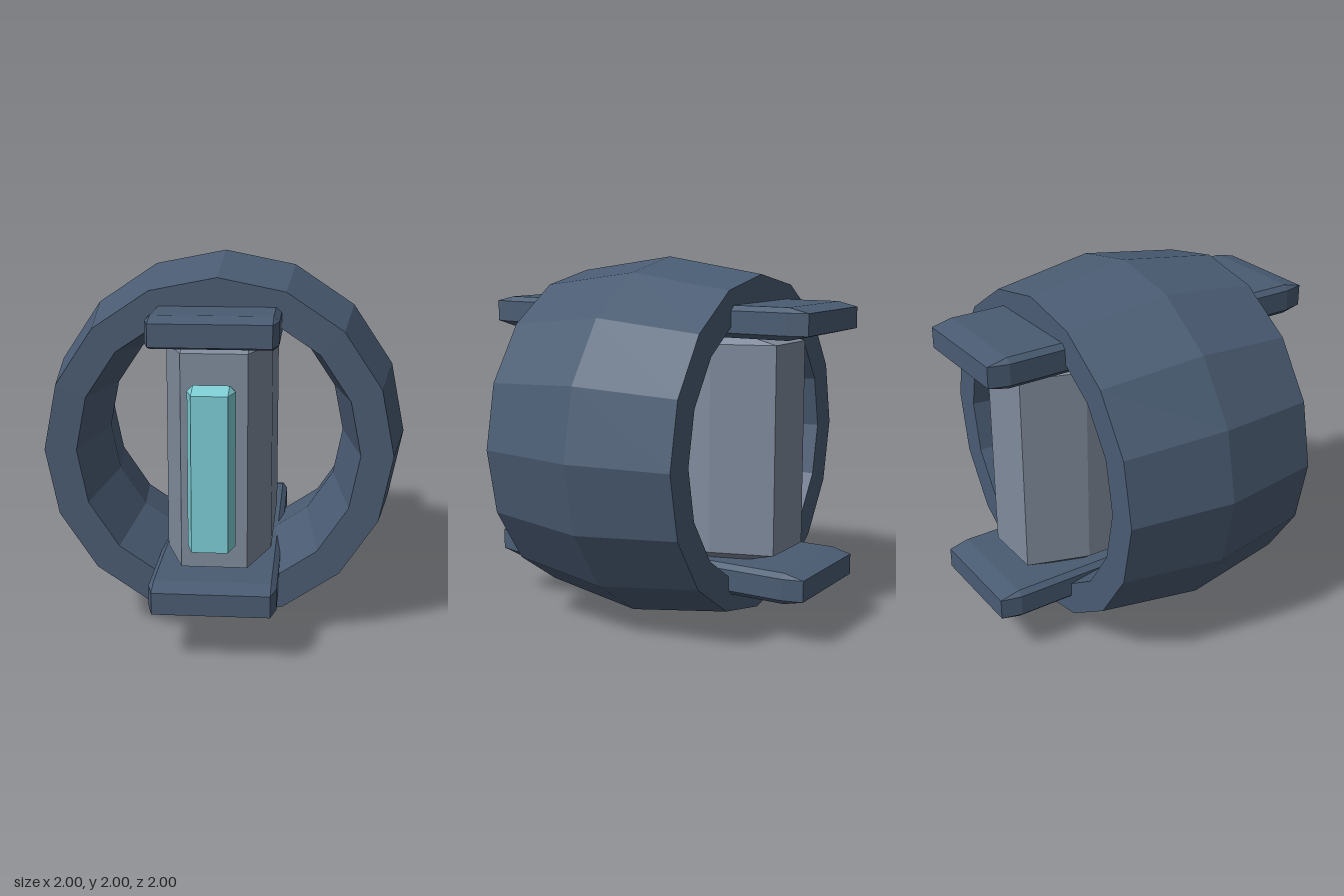
import * as THREE from 'three';
import { ConvexGeometry } from 'three/addons/geometries/ConvexGeometry.js';

const flat = (name, color) => {
  const m = new THREE.MeshStandardMaterial({ color, flatShading: true });
  m.name = name;
  return m;
};

// Box with every edge chamfered; half sizes h and chamfer widths b per axis
function chamferBox(h, b) {
  const points = [];
  for (const sx of [-1, 1]) for (const sy of [-1, 1]) for (const sz of [-1, 1]) {
    for (let axis = 0; axis < 3; axis++) {
      const p = h.map((v, i) => (i === axis ? v : v - b[i]));
      points.push(new THREE.Vector3(p[0] * sx, p[1] * sy, p[2] * sz));
    }
  }
  return new ConvexGeometry(points);
}

export function createModel() {
  const group = new THREE.Group();
  const slate = flat('slate blue', 0x4a5c73);
  const grey = flat('steel grey', 0x808b9c);
  const teal = flat('teal', 0x7dced5);

  const add = (name, geometry, material, x, y, z) => {
    const mesh = new THREE.Mesh(geometry, material);
    mesh.name = name;
    mesh.position.set(x, y, z);
    group.add(mesh);
  };

  // Outer ring: six-sided tube stretched along its axis
  const ring = new THREE.TorusGeometry(0.83, 0.17, 6, 16);
  ring.scale(1, 1, 0.57 / (0.17 * Math.sin(Math.PI / 3)));
  add('ring', ring, slate, 0, 1, -0.01);

  // Rails through the top and bottom of the ring
  for (const [name, y] of [['topRail', 1.685], ['bottomRail', 0.32]]) {
    add(name, chamferBox([0.328, 0.083, 0.987], [0.028, 0.026, 0.11]), slate, 0, y, -0.013);
  }

  // Central block held between the rails
  add('core', chamferBox([0.28, 0.645, 0.753], [0.11, 0.085, 0.33]), grey, 0, 1, -0.007);

  // Light bar floating in front of the core
  add('lightBar', chamferBox([0.12, 0.425, 0.115], [0.03, 0.03, 0.114]), teal, 0, 1.005, 0.885);

  return group;
}
